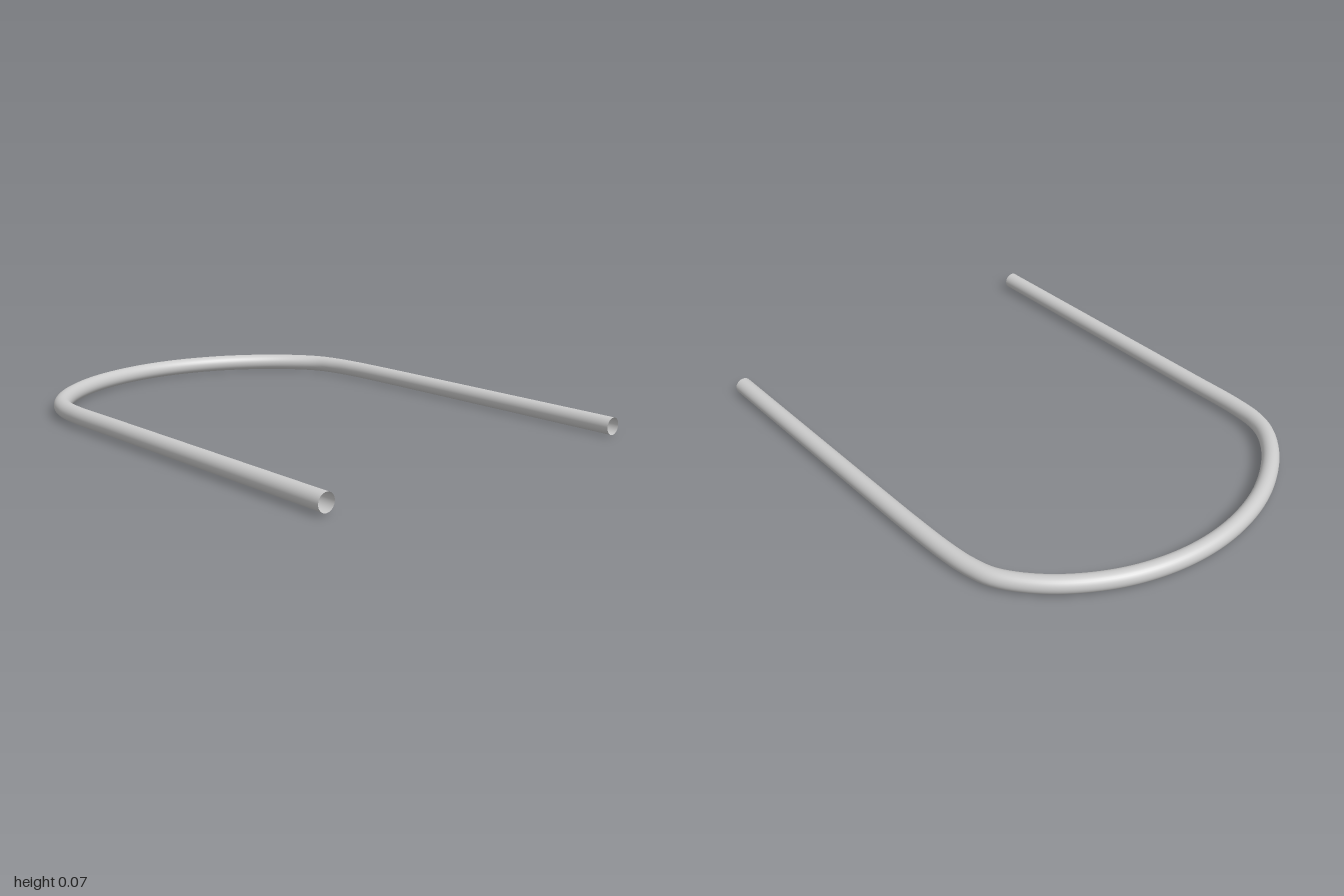
import * as THREE from 'three';

export function createModel() {
  const group = new THREE.Group();
  const radius = 0.034;

  // Centre line in plan (x, z): back arm, rounded bend, front arm
  const plan = [
    [1, -0.725], [0.5, -0.725], [0, -0.725], [-0.2, -0.724], [-0.4, -0.718], [-0.52, -0.704],
    [-0.62, -0.672], [-0.76, -0.555], [-0.88, -0.375], [-0.945, -0.19],
    [-0.966, 0],
    [-0.945, 0.19], [-0.88, 0.38], [-0.76, 0.565], [-0.64, 0.672],
    [-0.55, 0.71], [-0.43, 0.724], [-0.2, 0.724], [0, 0.724], [0.5, 0.724], [1, 0.724],
  ];
  // The bar lies almost flat, the back arm a touch lower
  const path = new THREE.CatmullRomCurve3(
    plan.map(([x, z]) => new THREE.Vector3(x, 0.038 + 0.004 * z, z)),
    false, 'centripetal'
  );

  // Bent round tube with open ends
  const tube = new THREE.Mesh(
    new THREE.TubeGeometry(path, 200, radius, 32, false),
    new THREE.MeshStandardMaterial({ color: 0xcccccc, side: THREE.DoubleSide })
  );
  tube.name = 'bentTube';
  group.add(tube);
  return group;
}
